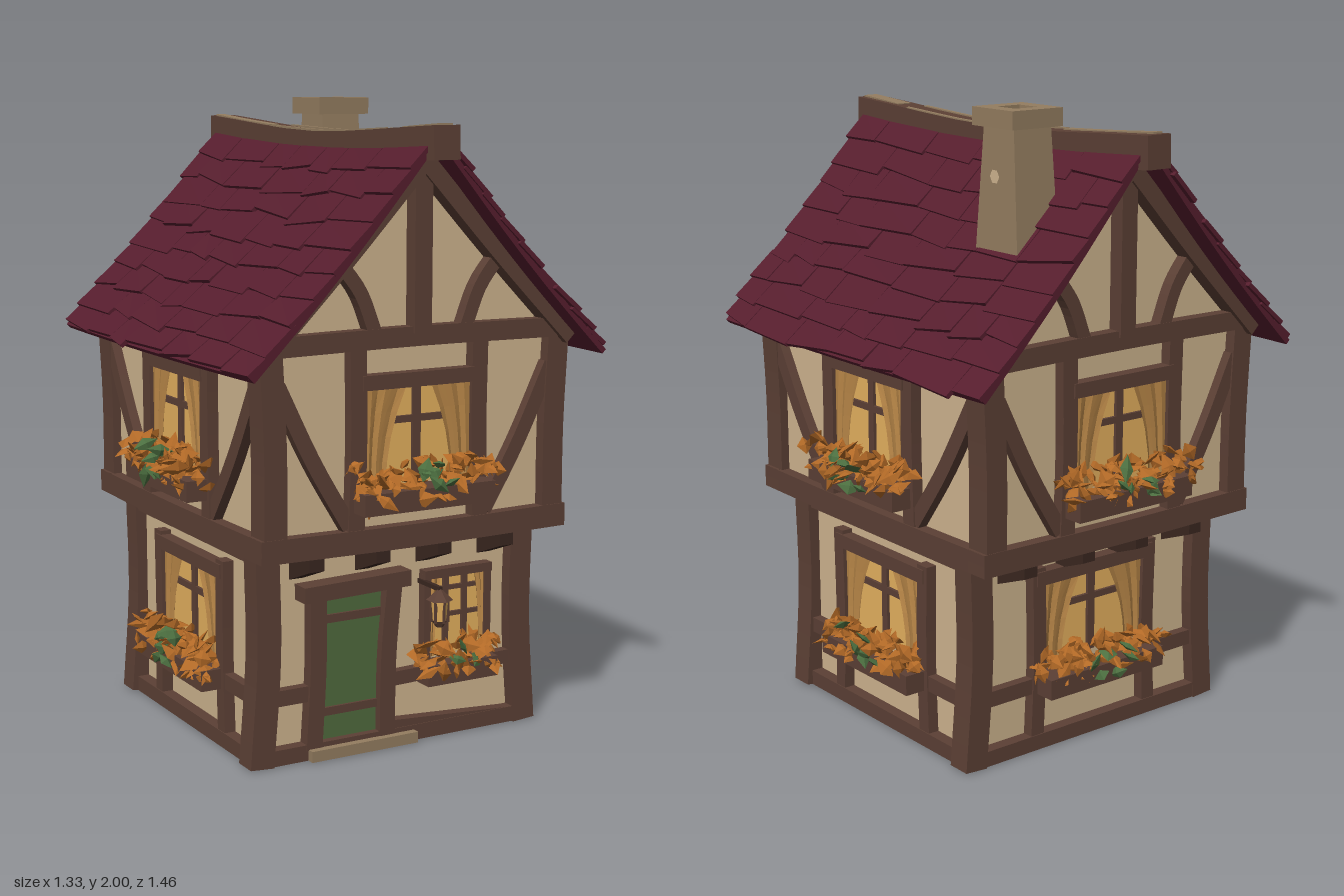
import * as THREE from 'three';
import { mergeGeometries } from 'three/addons/utils/BufferGeometryUtils.js';

const mat = (name, color, extra = {}) => {
  const m = new THREE.MeshStandardMaterial({ color, flatShading: true, ...extra });
  m.name = name;
  return m;
};
const M = {
  plaster: mat('plaster', 0xcfb58f),
  wood: mat('timber', 0x5c4035),
  dark: mat('darkTimber', 0x3a2720),
  roof: mat('roofShingle', 0x571e2e, { side: THREE.DoubleSide }),
  stone: mat('stone', 0x947d60),
  door: mat('doorGreen', 0x506b3d),
  glow: mat('windowGlow', 0xe6b25f),
  curtain: mat('curtain', 0xb98748, { side: THREE.DoubleSide }),
  flower: mat('autumnFlower', 0xb36a27),
  leaf: mat('leafGreen', 0x4c6f40),
};

let seed = 7;
const rnd = (a = 0, b = 1) => {
  seed = (seed * 16807) % 2147483647;
  return a + (b - a) * (seed / 2147483647);
};

function add(parent, name, geo, material, x = 0, y = 0, z = 0) {
  const mesh = new THREE.Mesh(geo, material);
  mesh.name = name;
  mesh.position.set(x, y, z);
  parent.add(mesh);
  return mesh;
}
const box = (parent, name, material, w, h, d, x, y, z) =>
  add(parent, name, new THREE.BoxGeometry(w, h, d), material, x, y, z);

// Move every vertex of a geometry by a rule
function warp(geo, rule) {
  const p = geo.attributes.position, v = new THREE.Vector3();
  for (let i = 0; i < p.count; i++) {
    rule(v.fromBufferAttribute(p, i));
    p.setXYZ(i, v.x, v.y, v.z);
  }
  geo.computeVertexNormals();
  return geo;
}

// Timber following points in the x-y plane, w wide and d deep at depth z
function beam(parent, name, pts, w, d, z, material = M.wood) {
  const curve = new THREE.CatmullRomCurve3(pts.map(([x, y]) => new THREE.Vector3(x, y, 0)));
  const geo = warp(new THREE.BoxGeometry(w, 1, d, 1, pts.length > 2 ? 8 : 1, 1), (v) => {
    const t = THREE.MathUtils.clamp(v.y + 0.5, 0, 1);
    const c = curve.getPointAt(t), g = curve.getTangentAt(t);
    v.set(c.x + g.y * v.x, c.y - g.x * v.x, v.z);
  });
  return add(parent, name, geo, material, 0, 0, z);
}

// Glowing pane with crossed bars and two draped curtains
function windowUnit(parent, x, y, w, h, z, cols, drape) {
  const g = new THREE.Group();
  g.name = 'window';
  g.position.set(x, y, z);
  parent.add(g);
  box(g, 'pane', M.glow, w, h, 0.008, 0, 0, 0.004);
  const bar = 0.056 / cols;
  for (let i = 1; i < cols; i++) {
    box(g, 'uprightBar', M.wood, bar, h, 0.012, -w / 2 + (w * i) / cols, 0, 0.012);
    box(g, 'crossBar', M.wood, w, bar * 0.75, 0.012, 0, h * (0.66 - i / cols), 0.012);
  }
  for (const s of [-1, 1]) {
    const geo = warp(new THREE.PlaneGeometry(1, h, 6, 4), (v) => {
      const u = v.x + 0.5, t = v.y / h + 0.5;
      v.x = s * (w / 2 - u * w * drape * (0.5 + 0.5 * t * t));
      v.z = 0.024 + 0.004 * Math.sin(u * 14);
    });
    add(g, 'curtain', geo, M.curtain);
  }
}

// Planter with a scatter of broad pointed leaves
function flowerBox(parent, x, y, w, z) {
  const g = new THREE.Group();
  g.name = 'flowerBox';
  g.position.set(x, y, z);
  parent.add(g);
  box(g, 'planter', M.wood, w, 0.065, 0.09, 0, 0, 0.05);
  const sets = { flower: [], leaf: [] };
  const n = Math.round(w * 230);
  for (let i = 0; i < n; i++) {
    const green = i % 20 === 0;
    const geo = new THREE.OctahedronGeometry(1);
    geo.scale(rnd(0.026, 0.05), rnd(0.007, 0.013), rnd(0.018, 0.032));
    geo.rotateX(rnd(0, 6)).rotateY(rnd(0, 6)).rotateZ(rnd(0, 6));
    geo.translate(rnd(-0.52, 0.52) * w * (green ? 0.4 : 1), rnd(0, 0.11), green ? 0.11 : rnd(0.015, 0.11));
    sets[green ? 'leaf' : 'flower'].push(geo);
  }
  add(g, 'blooms', mergeGeometries(sets.flower), M.flower);
  add(g, 'greenLeaves', mergeGeometries(sets.leaf), M.leaf);
}

// Upper storey wall framing; h is the half width, D the wall distance, top the plate height
function upperFace(f, h, D, top) {
  const z = D + 0.012;
  for (const s of [-1, 1]) {
    beam(f, 'upright', [[s * 0.22, 0.73], [s * 0.212, 1.0], [s * 0.215, top]], 0.055, 0.05, z);
    beam(f, 'diagonalBrace', [[s * 0.24, 0.75], [s * (h + 0.22) / 2, 0.95], [s * (h - 0.02), 1.19]], 0.05, 0.04, z);
  }
  beam(f, 'lintel', [[-0.2, 1.18], [0.2, 1.18]], 0.045, 0.06, z);
  beam(f, 'topPlate', [[-h, top], [0, top + 0.005], [h, top]], 0.06, 0.06, z);
  windowUnit(f, 0, 1.01, 0.37, 0.3, D, 2, 0.38);
  flowerBox(f, 0, 0.825, 0.46, D + 0.01);
}

// Lower storey wall framing with a wide window
function lowerFace(f, h, D) {
  const z = D + 0.012;
  for (const s of [-1, 1]) {
    beam(f, 'upright', [[s * 0.235, 0.03], [s * 0.225, 0.3], [s * 0.23, 0.6]], 0.05, 0.05, z);
    beam(f, 'rail', [[s * 0.22, 0.215], [s * h, 0.215]], 0.05, 0.04, z);
  }
  beam(f, 'lintel', [[-0.24, 0.565], [0.24, 0.565]], 0.045, 0.06, z);
  windowUnit(f, 0, 0.41, 0.41, 0.27, D, 2, 0.36);
  flowerBox(f, 0, 0.22, 0.47, D + 0.01);
}

// Door, small window, step and lantern
function entranceFace(f, D) {
  const z = D + 0.012;
  box(f, 'door', M.door, 0.21, 0.47, 0.02, -0.155, 0.28, D + 0.005);
  for (const y of [0.14, 0.435]) box(f, 'doorBand', M.wood, 0.2, 0.026, 0.012, -0.155, y, D + 0.018);
  beam(f, 'doorPost', [[-0.3, 0.03], [-0.285, 0.3], [-0.285, 0.52]], 0.055, 0.06, z);
  beam(f, 'doorPost', [[-0.04, 0.03], [-0.035, 0.3], [-0.015, 0.52]], 0.055, 0.06, z);
  beam(f, 'doorLintel', [[-0.345, 0.53], [0.03, 0.54]], 0.05, 0.09, z + 0.01);
  beam(f, 'rail', [[-0.46, 0.21], [-0.3, 0.21]], 0.05, 0.04, z);
  beam(f, 'rail', [[-0.02, 0.21], [0.45, 0.22]], 0.045, 0.04, z);
  beam(f, 'slantedSill', [[-0.02, 0.06], [0.45, 0.03]], 0.035, 0.05, z);
  box(f, 'doorStep', M.stone, 0.38, 0.035, 0.1, -0.13, 0.0175, D + 0.015);
  windowUnit(f, 0.225, 0.39, 0.21, 0.26, D, 3, 0.2);
  for (const x of [0.112, 0.338]) beam(f, 'windowJamb', [[x, 0.24], [x, 0.53]], 0.025, 0.04, z);
  beam(f, 'windowHead', [[0.1, 0.53], [0.35, 0.53]], 0.028, 0.05, z);
  flowerBox(f, 0.215, 0.215, 0.26, D - 0.01);
  const lamp = new THREE.Group();
  lamp.name = 'lantern';
  lamp.position.set(0.1, 0.44, D + 0.12);
  f.add(lamp);
  box(lamp, 'arm', M.dark, 0.014, 0.014, 0.13, 0, 0.068, -0.06);
  add(lamp, 'lampGlass', new THREE.CylinderGeometry(0.03, 0.02, 0.07, 6), M.glow);
  add(lamp, 'lampCap', new THREE.ConeGeometry(0.042, 0.04, 6), M.wood, 0, 0.053, 0);
  add(lamp, 'lampFoot', new THREE.CylinderGeometry(0.024, 0.012, 0.02, 6), M.wood, 0, -0.043, 0);
  for (let i = 0; i < 6; i++) {
    const a = (i * Math.PI) / 3;
    box(lamp, 'lampRib', M.wood, 0.007, 0.075, 0.007, Math.sin(a) * 0.026, 0, Math.cos(a) * 0.026);
  }
}

// Gable timbers and the brackets under the overhang
function gableFace(f, D) {
  const z = D + 0.02;
  beam(f, 'kingPost', [[0, 1.32], [0, 1.84]], 0.06, 0.06, z);
  for (const s of [-1, 1]) {
    beam(f, 'gableRafter', [[s * 0.54, 1.275], [s * 0.27, 1.545], [0, 1.83]], 0.055, 0.08, z);
    beam(f, 'gableBrace', [[s * 0.16, 1.33], [s * 0.21, 1.45], [s * 0.28, 1.54]], 0.045, 0.04, z);
  }
  const profile = new THREE.Shape([[0, 0.57], [0.13, 0.62], [0.13, 0.67], [0, 0.67]].map((p) => new THREE.Vector2(...p)));
  for (const x of [-0.34, -0.11, 0.11, 0.34]) {
    const geo = new THREE.ExtrudeGeometry(profile, { depth: 0.05, bevelEnabled: false });
    add(f, 'jettyBracket', geo, M.dark, x + 0.025, 0, 0.44).rotation.y = -Math.PI / 2;
  }
}

// Sagging, slightly flared roof surface: t runs from eave to ridge
function roofPoint(t, z, off) {
  const b = 1 - (z / 0.7) ** 2;
  return [
    (0.605 + 0.018 * b) * (1 - t) + 0.015 * t + off * 0.71,
    1.225 + 0.645 * t - 0.018 * Math.sin(Math.PI * t) - 0.025 * b * t + off * 0.7,
  ];
}

function roofSide() {
  const g = new THREE.Group();
  g.name = 'roofSide';
  const under = warp(new THREE.BoxGeometry(1, 1, 1.38, 8, 1, 8), (v) => {
    const [x, y] = roofPoint(0.5 - v.x, v.z, (v.y + 0.5) * 0.018);
    v.set(x, y, v.z);
  });
  add(g, 'roofDeck', under, M.roof);
  const rows = 9, parts = [];
  for (let i = 0; i < rows; i++) {
    let z0 = -0.7;
    while (z0 < 0.69) {
      let z1 = z0 + rnd(0.12, 0.28);
      if (z1 > 0.6) z1 = 0.7 + rnd(-0.01, 0.01);
      const low = i / rows + rnd(-0.022, 0.008), high = (i + 1.1) / rows, lift = rnd(0.012, 0.024), skew = rnd(-0.016, 0.016);
      const a = z0, c = z1;
      parts.push(warp(new THREE.BoxGeometry(1, 1, 1), (v) => {
        const u = v.x + 0.5, z = v.z < 0 ? a + 0.002 : c - 0.002;
        const t = Math.min(1, high + (low - high) * u + skew * v.z * 2 * u);
        const [x, y] = roofPoint(t, z, 0.011 + lift * u * 0.6 + (v.y + 0.5) * 0.014);
        v.set(x, y, z);
      }));
      z0 = z1;
    }
  }
  add(g, 'shingles', mergeGeometries(parts), M.roof);
  return g;
}

function chimney(parent) {
  const g = new THREE.Group();
  g.name = 'chimney';
  g.position.set(0.23, 0, -0.365);
  parent.add(g);
  add(g, 'stack', warp(new THREE.BoxGeometry(0.14, 0.42, 0.14), (v) => {
    if (v.y < 0) { v.x *= 1.15; v.z *= 1.45; }
  }), M.stone, 0, 1.74, 0);
  const sq = (r) => [[-r, -r], [r, -r], [r, r], [-r, r]].map((p) => new THREE.Vector2(...p));
  const ring = new THREE.Shape(sq(0.095));
  ring.holes.push(new THREE.Path(sq(0.042)));
  const cap = new THREE.ExtrudeGeometry(ring, { depth: 0.055, bevelEnabled: false });
  add(g, 'cap', cap, M.stone, 0, 1.945, 0).rotation.x = -Math.PI / 2;
  box(g, 'flue', M.glow, 0.06, 0.006, 0.06, 0, 1.955, 0);
  // Weathered patches lying on the sloping faces
  const lean = Math.atan(0.0315 / 0.42);
  add(g, 'rustPatch', new THREE.CircleGeometry(0.03, 6), M.flower, 0.038, 1.79, 0.0835).rotation.x = -lean;
  add(g, 'palePatch', new THREE.CircleGeometry(0.022, 6), M.plaster, 0.078, 1.8, 0.01).rotation.y = Math.PI / 2;
}

export function createModel() {
  seed = 7;
  const house = new THREE.Group();
  house.name = 'timberHouse';

  // Plaster body
  box(house, 'lowerWalls', M.plaster, 0.92, 0.66, 0.88, 0, 0.35, 0);
  const gable = new THREE.Shape([[-0.5, 0.7], [0.5, 0.7], [0.5, 1.31], [0, 1.81], [-0.5, 1.31]].map((p) => new THREE.Vector2(...p)));
  add(house, 'upperWalls', new THREE.ExtrudeGeometry(gable, { depth: 1.12, bevelEnabled: false }), M.plaster, 0, 0, -0.56);
  box(house, 'baseSlab', M.plaster, 0.92, 0.03, 0.88, 0, 0.016, 0);
  box(house, 'jettyFloor', M.wood, 1.02, 0.04, 1.14, 0, 0.69, 0);

  // Four faces: front, left, back, right
  ['front', 'left', 'back', 'right'].forEach((name, i) => {
    const f = new THREE.Group(), end = i % 2 === 0;
    f.name = name + 'Face';
    f.rotation.y = (i * Math.PI) / 2;
    house.add(f);
    const upperD = end ? 0.56 : 0.5, lowerD = end ? 0.44 : 0.46;
    const upperH = end ? 0.5 : 0.555, lowerH = end ? 0.46 : 0.44;
    upperFace(f, upperH, upperD, end ? 1.305 : 1.265);
    if (i === 0) entranceFace(f, lowerD);
    else lowerFace(f, lowerH, lowerD);
    if (end) gableFace(f, upperD);
    beam(f, 'sillBeam', [[-lowerH, 0.025], [lowerH, 0.025]], 0.05, 0.06, lowerD + 0.01);
    beam(f, 'headBeam', [[-lowerH, 0.65], [lowerH, 0.65]], 0.04, 0.04, lowerD + 0.01);
    const e = end ? 0.54 : 0.6;
    beam(f, 'jettyBeam', [[-e, 0.705], [0, 0.7], [e, 0.705]], 0.072, 0.08, upperD);
  });

  // Bowed corner posts
  for (const sx of [-1, 1]) for (const sz of [-1, 1]) {
    beam(house, 'lowerPost', [[sx * 0.48, 0], [sx * 0.455, 0.35], [sx * 0.46, 0.68]], 0.08, 0.08, sz * 0.442);
    beam(house, 'upperPost', [[sx * 0.492, 0.72], [sx * 0.492, 1.0], [sx * 0.505, 1.285]], 0.075, 0.085, sz * 0.555);
  }

  // Roof halves and sagging ridge
  for (const r of [0, Math.PI]) {
    const side = roofSide();
    side.rotation.y = r;
    house.add(side);
  }
  const ridge = new THREE.Group();
  ridge.name = 'ridge';
  ridge.rotation.y = Math.PI / 2;
  house.add(ridge);
  beam(ridge, 'ridgeBeam', [[-0.73, 1.885], [0, 1.85], [0.73, 1.885]], 0.1, 0.09, 0);
  beam(ridge, 'wornStrip', [[0.3, 1.91], [0.5, 1.921], [0.7, 1.935]], 0.008, 0.035, -0.02, M.stone);
  beam(ridge, 'wornStrip', [[-0.72, 1.936], [-0.6, 1.928], [-0.52, 1.922]], 0.008, 0.05, 0, M.stone);
  for (const s of [-1, 1]) {
    beam(ridge, 'wornEdge', [[-0.45, 1.918], [-0.1, 1.902], [0.28, 1.909]], 0.008, 0.014, s * 0.037, M.stone);
  }

  chimney(house);
  return house;
}
